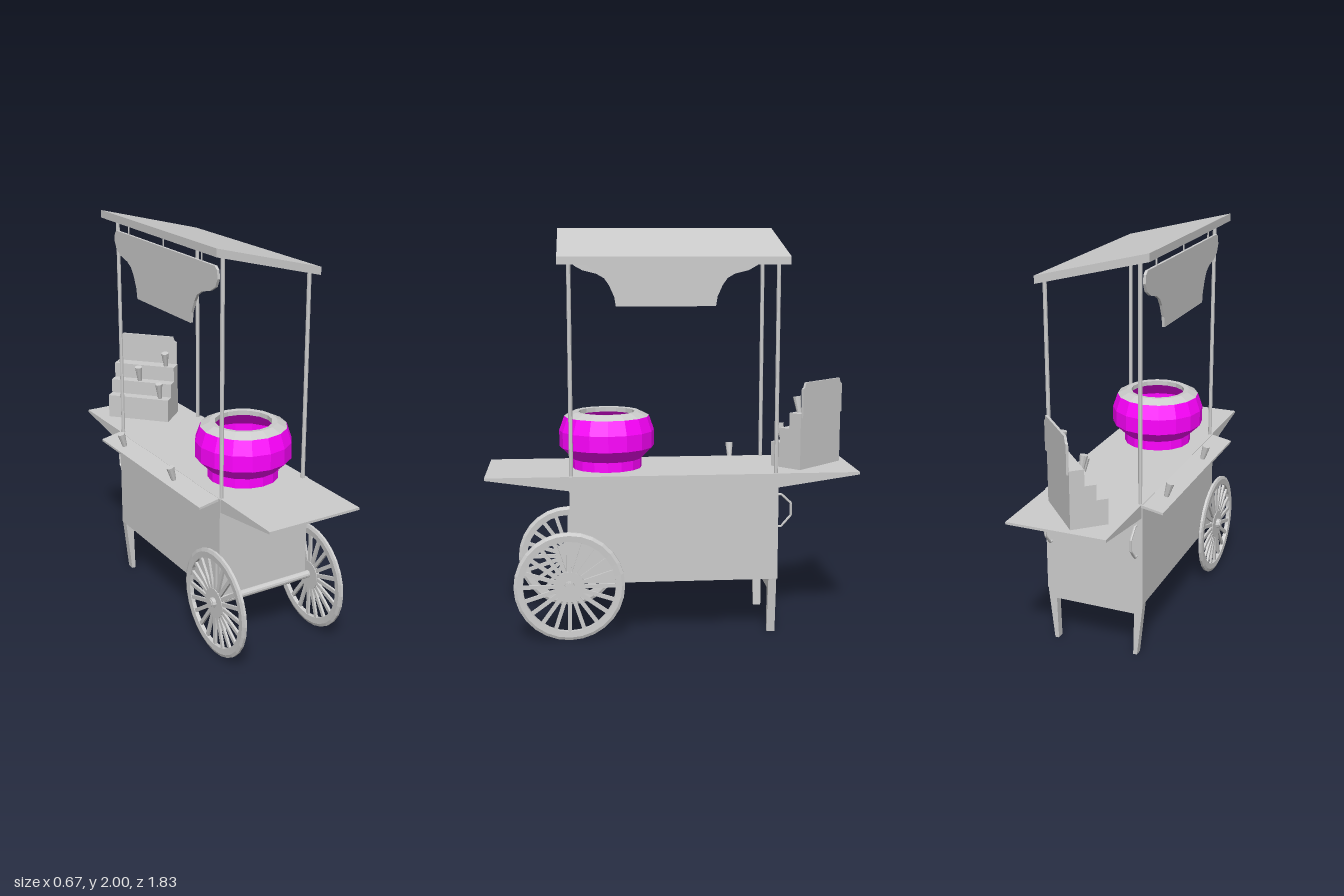
import * as THREE from 'three';

const grey = new THREE.MeshStandardMaterial({ color: 0xcccccc, flatShading: true, side: THREE.DoubleSide });
const magenta = new THREE.MeshStandardMaterial({ color: 0xff00ff, flatShading: true, side: THREE.DoubleSide });

function add(parent, name, geometry, x = 0, y = 0, z = 0, material = grey) {
  const mesh = new THREE.Mesh(geometry, material);
  mesh.name = name;
  mesh.position.set(x, y, z);
  parent.add(mesh);
  return mesh;
}

const outline = (pts) => new THREE.Shape(pts.map(([a, b]) => new THREE.Vector2(a, b)));

// Outline in (x, y), swept along z from z0 to z1
function sweepZ(pts, z0, z1) {
  return new THREE.ExtrudeGeometry(outline(pts), { depth: z1 - z0, bevelEnabled: false }).translate(0, 0, z0);
}

// Outline in (z, y), swept along x from x0 to x1
function sweepX(pts, x0, x1) {
  return new THREE.ExtrudeGeometry(outline(pts), { depth: x1 - x0, bevelEnabled: false })
    .rotateY(-Math.PI / 2).translate(x1, 0, 0);
}

const lathe = (pts, sides) => new THREE.LatheGeometry(pts.map(([r, y]) => new THREE.Vector2(r, y)), sides);

// Small cone, wide end up
const cone = () => new THREE.CylinderGeometry(0.02, 0.004, 0.15, 10);

function makeWheel() {
  const wheel = new THREE.Group();
  const rim = [[0.225, -0.01], [0.255, -0.012], [0.27, -0.006], [0.27, 0.006], [0.255, 0.012], [0.225, 0.01], [0.225, -0.01]];
  add(wheel, 'rim', lathe(rim, 28).rotateZ(Math.PI / 2));
  add(wheel, 'hub', new THREE.CylinderGeometry(0.075, 0.075, 0.018, 20).rotateZ(Math.PI / 2));
  const count = 20;
  for (let i = 0; i < count; i++) {
    const spoke = new THREE.BoxGeometry(0.012, 0.17, 0.019).translate(0, 0.148, 0);
    add(wheel, 'spoke', spoke.rotateX((i / count) * Math.PI * 2));
  }
  return wheel;
}

function makeDisplay() {
  const display = new THREE.Group();
  const width = 0.345, base = 0.81;
  // Three steps falling away from the back panel
  const steps = [[0.01, base], [0.19, base], [0.19, 0.935], [0.135, 0.935], [0.135, 1.01], [0.08, 1.01], [0.08, 1.09], [0.01, 1.09]];
  add(display, 'displaySteps', sweepX(steps, 0, width));
  // Upright panel with notched top corners
  const panel = [[0.005, 1.07], [0.34, 1.07], [0.34, 1.215], [0.327, 1.222], [0.318, 1.245],
    [0.027, 1.245], [0.018, 1.222], [0.005, 1.215]];
  add(display, 'displayPanel', sweepZ(panel, 0, 0.012));
  for (const [x, y, z] of [[0.157, 1.02, 0.115], [0.293, 1.095, 0.06], [0.29, 0.95, 0.165]]) {
    add(display, 'displayCone', cone(), x, y, z).rotation.x = 0.2;
  }
  display.position.set(-0.03, 0, -0.89);
  display.rotation.y = -0.824;
  return display;
}

export function createModel() {
  const cart = new THREE.Group();
  cart.name = 'vendingCart';

  // Cabinet and folding end shelves
  add(cart, 'cabinet', new THREE.BoxGeometry(0.505, 0.53, 1.02), 0.0225, 0.545, 0);
  for (const s of [1, -1]) {
    const wedge = [[s * 0.51, 0.81], [s * 0.915, 0.81], [s * 0.915, 0.798], [s * 0.51, 0.74]];
    add(cart, 'endShelf', sweepX(wedge, -0.225, 0.27));
  }

  // Sloping side shelf with two cones through it
  add(cart, 'sideShelf', sweepZ([[-0.225, 0.81], [-0.335, 0.788], [-0.335, 0.777], [-0.225, 0.797]], -0.515, 0.5));
  for (const z of [-0.345, 0.175]) {
    add(cart, 'sideCone', cone(), -0.286, 0.796, z).rotation.z = 0.27;
  }

  // Roof and its posts
  add(cart, 'roof', sweepZ([[-0.28, 2], [0.275, 1.858], [0.275, 1.82], [-0.28, 1.962]], -0.555, 0.555));
  for (const z of [-0.5, 0.5]) {
    for (const [x, top] of [[-0.215, 1.96], [0.25, 1.84]]) {
      add(cart, 'roofPost', new THREE.CylinderGeometry(0.01, 0.01, top - 0.8, 8), x, (top + 0.8) / 2, z);
    }
  }

  // Hanging board with scalloped ends
  const half = [[0.26, 1.6], [0.268, 1.65], [0.295, 1.71], [0.32, 1.745], [0.36, 1.768], [0.43, 1.785],
    [0.475, 1.81], [0.495, 1.85], [0.49, 1.89], [0.47, 1.905]];
  const mirrored = half.map(([z, y]) => [-z, y]).reverse();
  add(cart, 'hangingBoard', sweepX([...half, ...mirrored], -0.238, -0.225));
  for (const z of [-0.35, 0, 0.35]) {
    add(cart, 'boardHanger', new THREE.CylinderGeometry(0.004, 0.004, 0.07, 6), -0.231, 1.925, z);
  }

  // Back legs joined by an apron
  const legs = [[-0.23, 0.28], [-0.2, 0], [-0.18, 0], [-0.185, 0.225], [0.23, 0.225], [0.225, 0], [0.245, 0], [0.275, 0.28]];
  add(cart, 'backLegs', sweepZ(legs, -0.505, -0.465));

  // Axle and wheels
  const along = (r, length, sides) => new THREE.CylinderGeometry(r, r, length, sides).rotateZ(Math.PI / 2);
  add(cart, 'axle', along(0.019, 0.62, 12), 0.0225, 0.28, 0.515);
  for (const s of [-1, 1]) {
    const wheel = makeWheel();
    wheel.name = 'wheel';
    wheel.position.set(0.0225 + s * 0.278, 0.275, 0.515);
    cart.add(wheel);
    add(cart, 'wheelNut', along(0.025, 0.02, 10), 0.0225 + s * 0.295, 0.28, 0.515);
  }

  // Pull handles on the back
  const bend = [[0.7, -0.505], [0.7, -0.53], [0.655, -0.578], [0.595, -0.578], [0.54, -0.53], [0.54, -0.505]];
  for (const x of [-0.2, 0.245]) {
    const path = new THREE.CurvePath();
    const pts = bend.map(([y, z]) => new THREE.Vector3(x, y, z));
    for (let i = 1; i < pts.length; i++) path.add(new THREE.LineCurve3(pts[i - 1], pts[i]));
    add(cart, 'backHandle', new THREE.TubeGeometry(path, 40, 0.006, 6));
  }

  // Faceted bowl with a pale rim
  const bowl = [[0, 0.812], [0.175, 0.812], [0.175, 0.86], [0.237, 0.92], [0.237, 1.0], [0.212, 1.072]];
  const rim = [[0.212, 1.072], [0.165, 1.095], [0.14, 1.093], [0.14, 1.07]];
  const inside = [[0.14, 1.07], [0.21, 1.0], [0.21, 0.92], [0.15, 0.86], [0, 0.85]];
  add(cart, 'bowl', lathe(bowl, 16), 0.02, 0, 0.32, magenta);
  add(cart, 'bowlInside', lathe(inside, 16), 0.02, 0, 0.32, magenta);
  add(cart, 'bowlRim', lathe(rim, 16), 0.02, 0, 0.32);

  // Stepped display standing at an angle on the back shelf
  const display = makeDisplay();
  display.name = 'steppedDisplay';
  cart.add(display);

  return cart;
}
